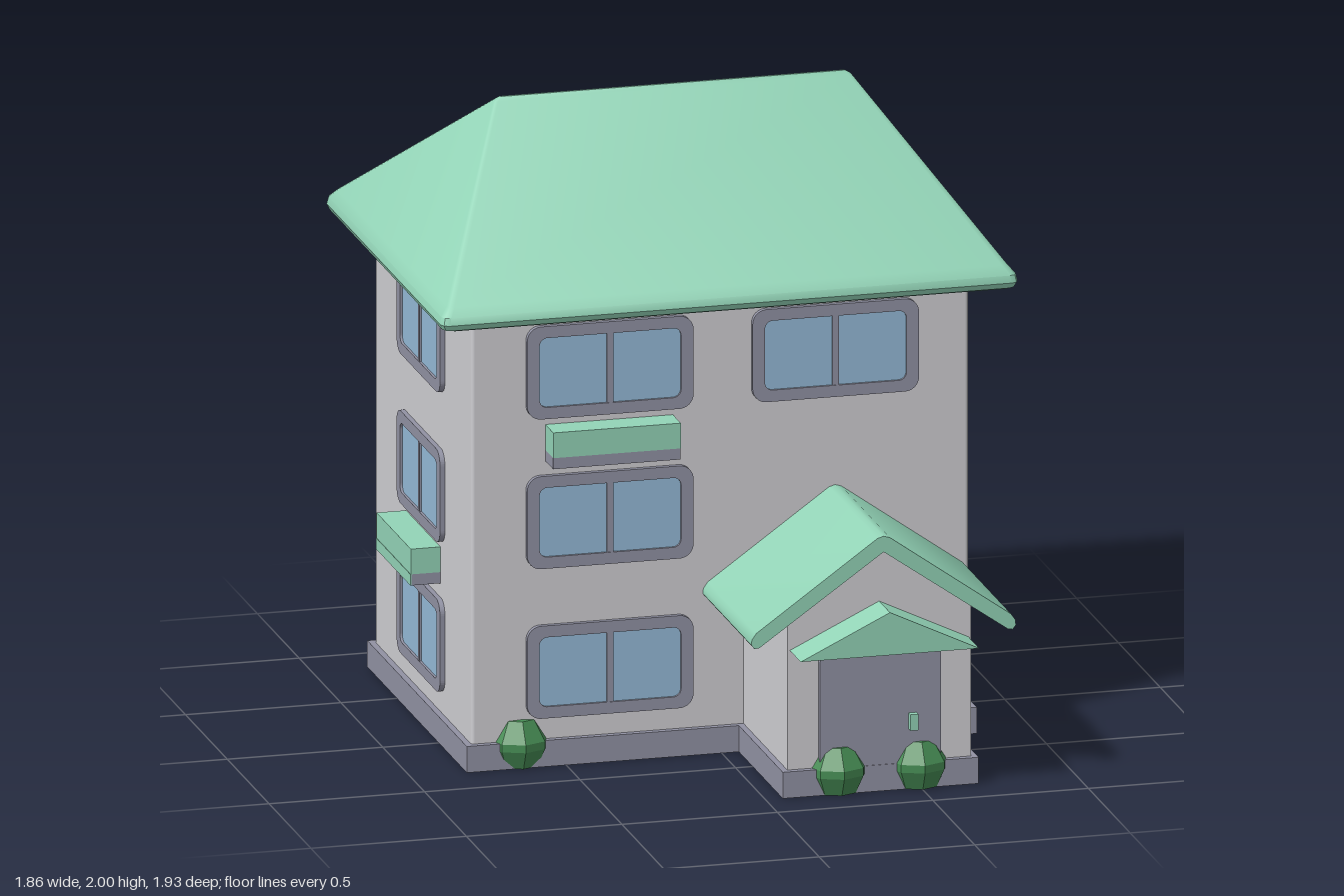
import * as THREE from 'three';
import { toCreasedNormals } from 'three/addons/utils/BufferGeometryUtils.js';
import { RoundedBoxGeometry } from 'three/addons/geometries/RoundedBoxGeometry.js';

const makeMaterial = (name, color) => {
  const m = new THREE.MeshStandardMaterial({ color });
  m.name = name;
  return m;
};

// Rounded rectangle centred on the origin
function roundedRect(w, h, r, Type = THREE.Shape) {
  const s = new Type(), x = w / 2, y = h / 2;
  s.moveTo(-x + r, -y);
  s.lineTo(x - r, -y);
  s.absarc(x - r, -y + r, r, -Math.PI / 2, 0);
  s.lineTo(x, y - r);
  s.absarc(x - r, y - r, r, 0, Math.PI / 2);
  s.lineTo(-x + r, y);
  s.absarc(-x + r, y - r, r, Math.PI / 2, Math.PI);
  s.lineTo(-x, -y + r);
  s.absarc(-x + r, -y + r, r, Math.PI, Math.PI * 1.5);
  return s;
}

const extrude = (shape, depth) =>
  new THREE.ExtrudeGeometry(shape, { depth, bevelEnabled: false, curveSegments: 5 });

const polygon = (points) => new THREE.Shape(points.map(([x, y]) => new THREE.Vector2(x, y)));

// Hipped roof lofted through rounded rectangles, each [y, halfX, halfZ, corner]
function hippedRoof(levels) {
  const pos = [], index = [], n = 12;
  for (const [y, hx, hz, r] of levels) {
    for (let c = 0; c < 4; c++) {
      const sx = c === 0 || c === 3 ? 1 : -1, sz = c < 2 ? 1 : -1;
      for (let k = 0; k < 3; k++) {
        const a = (c + k / 2) * Math.PI / 2;
        pos.push(sx * (hx - r) + r * Math.cos(a), y, sz * (hz - r) + r * Math.sin(a));
      }
    }
  }
  for (let l = 0; l < levels.length - 1; l++) {
    for (let i = 0; i < n; i++) {
      const a = l * n + i, b = l * n + (i + 1) % n;
      index.push(a, a + n, b, b, a + n, b + n);
    }
  }
  const top = (levels.length - 1) * n;
  for (let i = 1; i < n - 1; i++) {
    index.push(0, i, i + 1, top, top + i + 1, top + i);
  }
  const g = new THREE.BufferGeometry();
  g.setAttribute('position', new THREE.Float32BufferAttribute(pos, 3));
  g.setIndex(index);
  return toCreasedNormals(g, 0.6);
}

export function createModel() {
  const house = new THREE.Group();
  house.name = 'house';

  const wall = makeMaterial('wall grey', 0xcfced2);
  const trim = makeMaterial('trim slate', 0x9192a3);
  const mint = makeMaterial('roof mint', 0x93d4b7);
  const glass = makeMaterial('window blue', 0x94bad7);
  const leaf = makeMaterial('bush green', 0x468c54);
  leaf.flatShading = true;

  const add = (name, geometry, material, x = 0, y = 0, z = 0, parent = house) => {
    const m = new THREE.Mesh(geometry, material);
    m.name = name;
    m.position.set(x, y, z);
    parent.add(m);
    return m;
  };
  const box = (w, h, d) => new THREE.BoxGeometry(w, h, d);

  const midZ = -0.26, doorX = 0.37;

  // Main block, plinth and roof
  add('mainWalls', new RoundedBoxGeometry(1.6, 1.44, 1.15, 2, 0.012), wall, 0, 0.76, midZ);
  add('plinth', box(1.64, 0.085, 1.19), trim, 0, 0.0425, midZ);
  add('mainRoof', hippedRoof([
    [1.46, 0.9, 0.68, 0.02], [1.467, 0.92, 0.697, 0.025], [1.485, 0.928, 0.705, 0.025],
    [1.508, 0.923, 0.7, 0.025], [1.535, 0.9, 0.672, 0.02],
    [1.988, 0.575, 0.016, 0.012], [2.0, 0.555, 0.004, 0.003],
  ]), mint, 0, 0, midZ);

  // Window: frame, pane and centre bar, facing +z
  function windowUnit(w) {
    const g = new THREE.Group();
    g.name = 'window';
    const h = 0.3, frame = roundedRect(w, h, 0.045);
    frame.holes.push(roundedRect(w - 0.08, h - 0.075, 0.025, THREE.Path));
    add('windowFrame', extrude(frame, 0.016), trim, 0, 0, 0, g);
    add('windowPane', extrude(roundedRect(w - 0.075, h - 0.07, 0.025), 0.008), glass, 0, 0, 0, g);
    add('windowBar', box(0.02, h - 0.07, 0.014), trim, 0, 0, 0.007, g);
    return g;
  }

  // Flower box with a slate tray below; the side ones have a full mint front
  function flowerBox(fullFront) {
    const g = new THREE.Group();
    g.name = 'flowerBox';
    add('boxTop', box(0.41, 0.082, 0.095), mint, 0, 0.077, 0.0475, g);
    add('boxTray', box(0.41, 0.036, 0.094), trim, 0, 0.018, 0.047, g);
    if (fullFront) add('boxFront', box(0.41, 0.036, 0.004), mint, 0, 0.018, 0.0945, g);
    return g;
  }

  const rows = [0.305, 0.79, 1.275];
  const faces = [
    { turn: 0, x: -0.357, z: 0.315, w: 0.535, boxY: 0.985 },
    { turn: Math.PI, x: 0, z: -0.835, w: 0.535, boxY: 0.985 },
    { turn: Math.PI / 2, x: 0.8, z: midZ, w: 0.52, boxY: 0.5 },
    { turn: -Math.PI / 2, x: -0.8, z: midZ, w: 0.52, boxY: 0.5 },
  ];
  const place = (part, f, x, y) => {
    part.position.set(x, y, f.z);
    part.rotation.y = f.turn;
    house.add(part);
  };
  for (const f of faces) {
    for (const y of rows) place(windowUnit(f.w), f, f.x, y);
    place(flowerBox(f.boxY < 0.9), f, f.x, f.boxY);
  }
  place(windowUnit(0.535), faces[0], 0.368, rows[2]);

  // Entrance porch with a gabled front
  add('porchWalls', extrude(polygon([
    [-0.295, 0.04], [0.295, 0.04], [0.295, 0.59], [0, 0.795], [-0.295, 0.59],
  ]), 0.54), wall, doorX, 0, 0.3);
  add('porchPlinth', box(0.63, 0.085, 0.56), trim, doorX, 0.0425, 0.58);

  // Porch roof: a chevron with softened ridge and eaves
  const half = [[0.02, 0.83], [0.41, 0.552], [0.424, 0.532], [0.425, 0.515], [0.415, 0.502], [0.4, 0.504]];
  const mirrored = half.map(([x, y]) => [-x, y]).reverse();
  add('porchRoof', toCreasedNormals(
    extrude(polygon([[0, 0.836], ...half, [0, 0.785], ...mirrored]), 0.605), 0.6), mint, doorX, 0, 0.29);

  // Small pediment over the door
  add('doorCanopy', extrude(polygon([[-0.287, 0.472], [0.287, 0.472], [0, 0.61]]), 0.135), mint, doorX, 0, 0.835);

  // Door and handle
  add('door', extrude(roundedRect(0.39, 0.38, 0.03), 0.018), trim, doorX, 0.265, 0.84);
  add('doorHandle', box(0.026, 0.052, 0.025), mint, 0.473, 0.22, 0.868);

  // Faceted bushes
  const bushProfile = [[0, 0], [0.07, 0], [0.098, 0.06], [0.098, 0.085], [0.058, 0.15], [0, 0.157]]
    .map(([r, y]) => new THREE.Vector2(r, y));
  const bushGeometry = new THREE.LatheGeometry(bushProfile, 8);
  for (const [x, z] of [[-0.64, 0.275], [0.635, 0.275], [0.24, 0.81], [0.5, 0.81]]) {
    add('bush', bushGeometry, leaf, x, 0, z);
  }

  return house;
}
